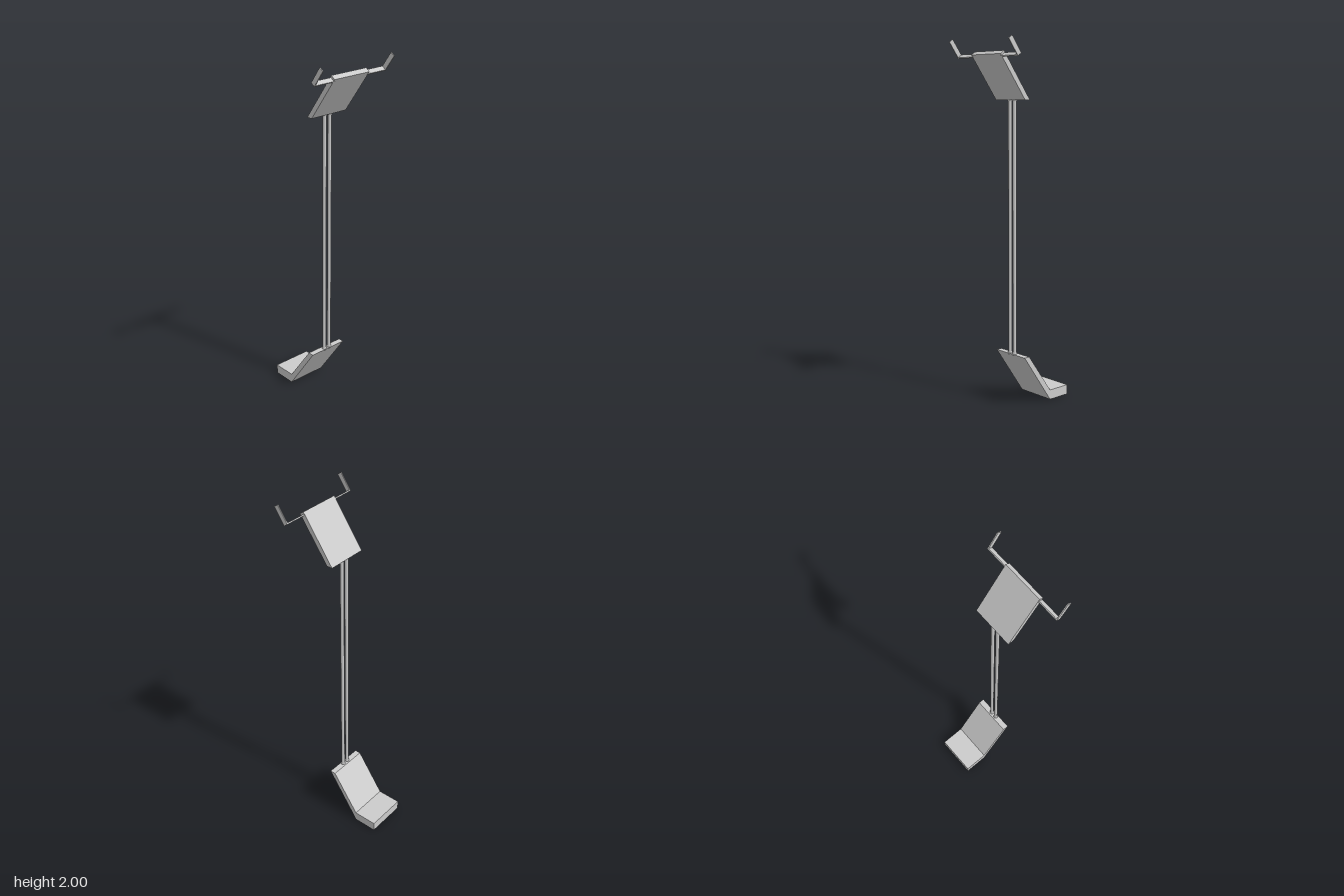
import * as THREE from 'three';

const grey = new THREE.MeshStandardMaterial({ color: 0xcccccc });

// Side profile in the x-y plane, extruded along z from z0 to z1
function slab(name, points, z0, z1) {
  const shape = new THREE.Shape(points.map(([x, y]) => new THREE.Vector2(x, y)));
  const geometry = new THREE.ExtrudeGeometry(shape, { depth: z1 - z0, bevelEnabled: false });
  geometry.translate(0, 0, z0);
  const mesh = new THREE.Mesh(geometry, grey);
  mesh.name = name;
  return mesh;
}

// Rectangle starting at a corner: `length` up the slope, `thickness` across it
function slopedStrip([x, y], length, thickness) {
  const c = 0.582, s = 0.813;
  const ax = c * length, ay = s * length, bx = s * thickness, by = -c * thickness;
  return [[x, y], [x + bx, y + by], [x + ax + bx, y + ay + by], [x + ax, y + ay]];
}

export function createModel() {
  const model = new THREE.Group();
  model.name = 'stand';
  const half = 0.117;

  // Flat foot and the sloped plate rising from it
  model.add(slab('foot', [[-0.277, 0], [-0.14, 0], [-0.14, 0.055], [-0.277, 0.055]], -half, half));
  model.add(slab('lowerPlate', [[-0.14, 0], [0.055, 0.28], [0.021, 0.28], [-0.14, 0.055]], -half, half));

  // Sloped head plate, cut level at the bottom and square at the top
  model.add(slab('headPlate', [[0.021, 1.68], [0.055, 1.68], [0.225, 1.914], [0.202, 1.931]], -half, half));

  for (const side of [-1, 1]) {
    // Twin poles with short collars at both ends
    const profile = [[0, 0.272], [0.013, 0.272], [0.013, 0.284], [0.01, 0.292],
      [0.01, 1.668], [0.013, 1.676], [0.013, 1.688], [0, 1.688]];
    const pole = new THREE.Mesh(
      new THREE.LatheGeometry(profile.map(([r, y]) => new THREE.Vector2(r, y)), 16), grey);
    pole.name = side > 0 ? 'frontPole' : 'backPole';
    pole.position.set(0.041, 0, side * 0.018);
    model.add(pole);

    // Bent bracket: a thin arm out to the side, then a prong up the slope
    const bracket = new THREE.Group();
    bracket.name = side > 0 ? 'frontBracket' : 'backBracket';
    const corner = [0.195, 1.914];
    const span = (a, b) => (side > 0 ? [a, b] : [-b, -a]);
    bracket.add(slab('arm', slopedStrip(corner, 0.007, 0.027), ...span(0.11, 0.236)));
    bracket.add(slab('prong', slopedStrip(corner, 0.105, 0.027), ...span(0.234, 0.24)));
    model.add(bracket);
  }
  return model;
}
